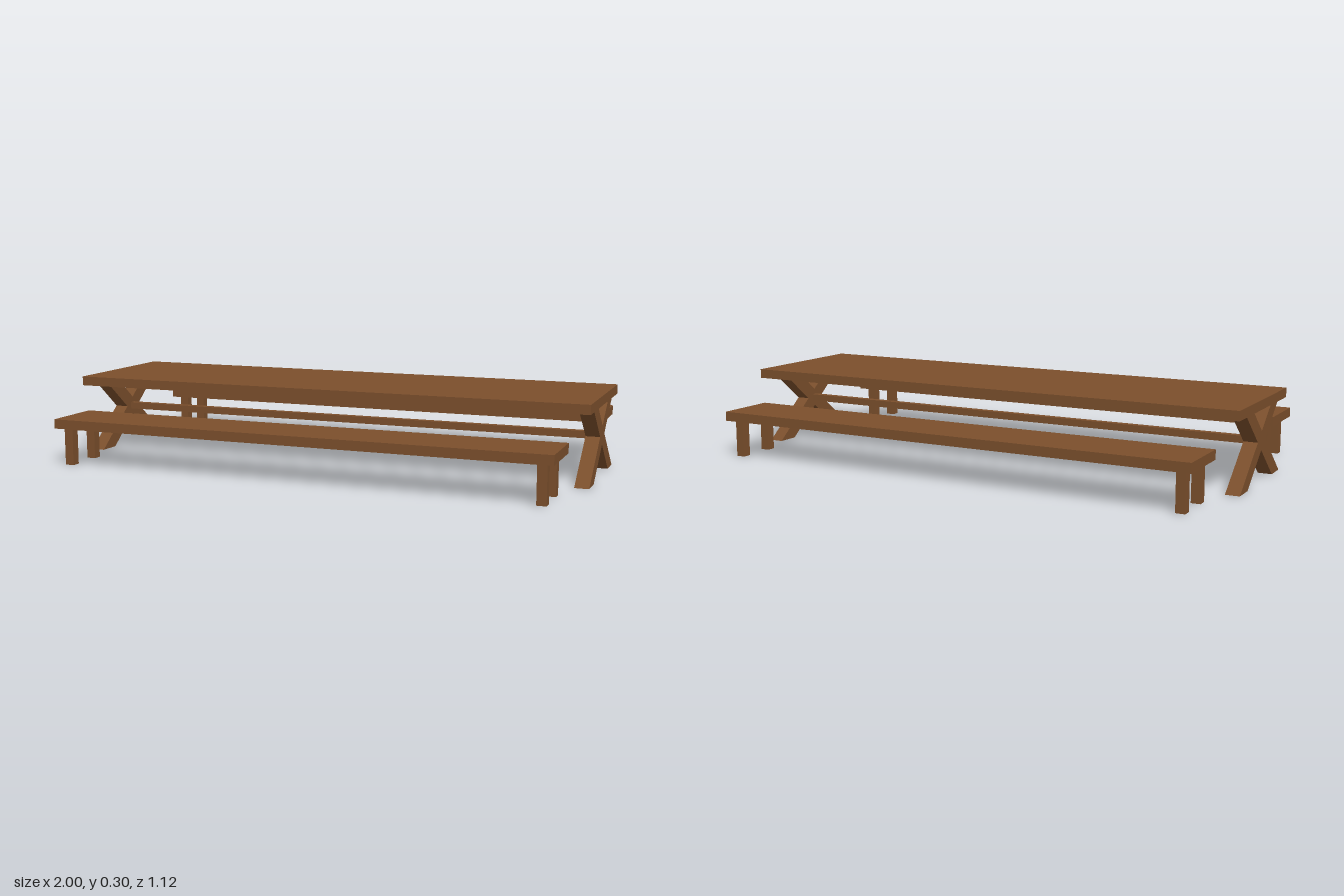
import * as THREE from 'three';

export function createModel() {
  const group = new THREE.Group();
  const wood = new THREE.MeshStandardMaterial({ color: 0x7b4f2c });
  wood.name = 'brown wood';

  // Box given by its centre in x and z and its bottom and top heights
  function box(name, parent, w, d, y0, y1, x = 0, z = 0) {
    const mesh = new THREE.Mesh(new THREE.BoxGeometry(w, y1 - y0, d), wood);
    mesh.position.set(x, (y0 + y1) / 2, z);
    mesh.name = name;
    parent.add(mesh);
  }

  // Table: top, crossed legs at both ends and a long stretcher
  const table = new THREE.Group();
  table.name = 'table';
  group.add(table);
  box('tableTop', table, 2, 0.547, 0.264, 0.299);
  box('stretcher', table, 1.89, 0.027, 0.137, 0.163);

  const legDepth = 0.052;
  function crossLeg(side, lean) {
    // Slanted plank cut flat at floor and table top
    const shape = new THREE.Shape([[0.228, 0], [0.143, 0], [-0.183, 0.264], [-0.098, 0.264]]
      .map(([z, y]) => new THREE.Vector2(z * lean, y)));
    const geo = new THREE.ExtrudeGeometry(shape, { depth: legDepth, bevelEnabled: false });
    geo.translate(0, 0, -legDepth / 2).rotateY(-Math.PI / 2);
    const leg = new THREE.Mesh(geo, wood);
    leg.position.x = side * 0.969;
    leg.name = 'crossLeg';
    table.add(leg);
  }
  for (const side of [-1, 1]) for (const lean of [-1, 1]) crossLeg(side, lean);

  // Two benches, each with four square legs
  for (const s of [-1, 1]) {
    const bench = new THREE.Group();
    bench.name = s > 0 ? 'frontBench' : 'backBench';
    bench.position.z = s * 0.443;
    group.add(bench);
    box('benchSeat', bench, 1.88, 0.23, 0.14, 0.175);
    for (const x of [-0.897, 0.897])
      for (const z of [-0.072, 0.072]) box('benchLeg', bench, 0.034, 0.034, 0, 0.14, x, z);
  }
  return group;
}
